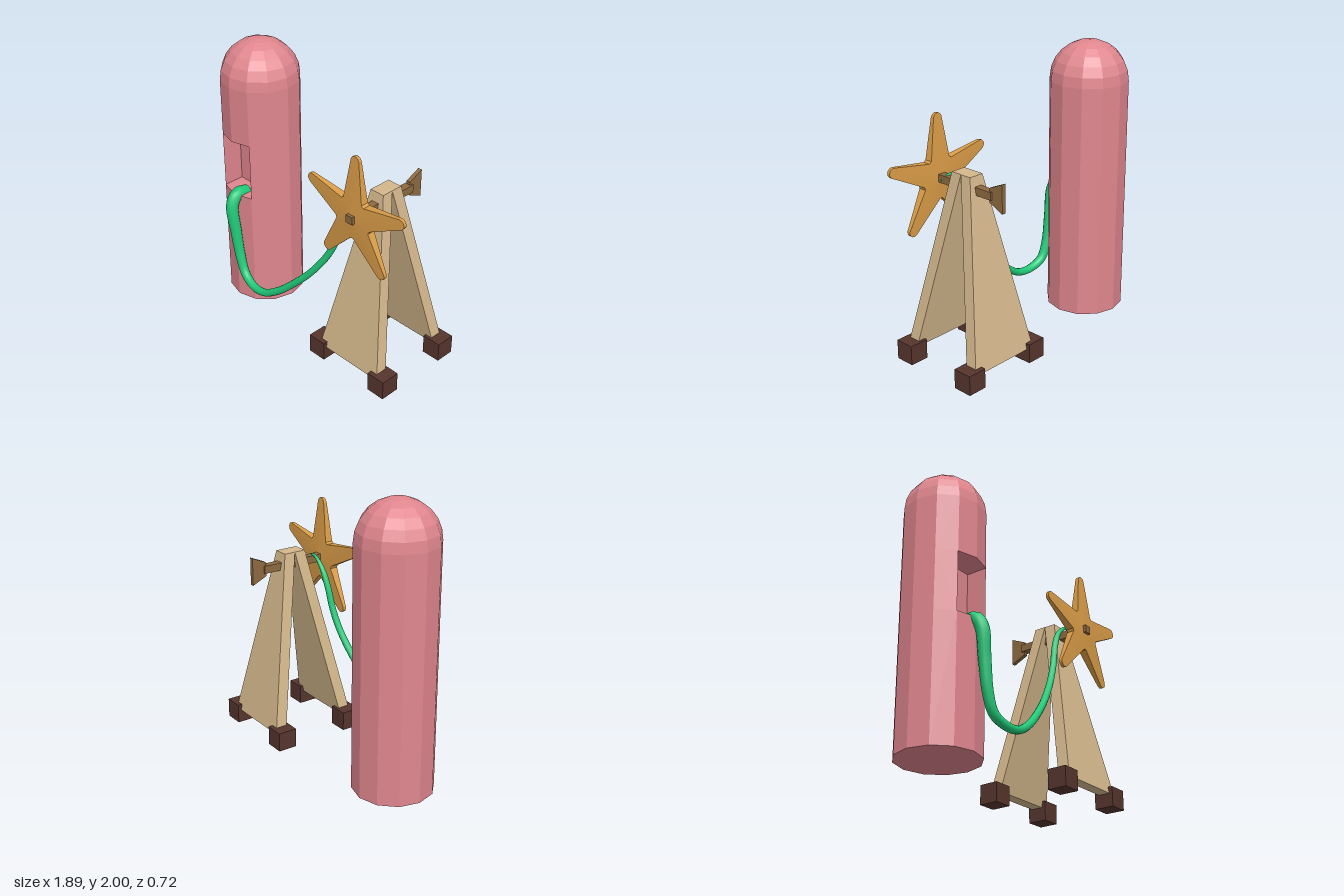
import * as THREE from 'three';

const mat = (name, color, flatShading = true) => {
  const m = new THREE.MeshStandardMaterial({ color, flatShading });
  m.name = name;
  return m;
};

export function createModel() {
  const pink = mat('pink', 0xe0868e);
  const tan = mat('tan wood', 0xd4b88c);
  const orange = mat('orange', 0xdb9d48);
  const brown = mat('brown wood', 0x8e6a41);
  const dark = mat('dark brown', 0x56352e);
  const green = mat('green', 0x20c878, false);

  const root = new THREE.Group();
  const add = (parent, name, geo, material, x = 0, y = 0, z = 0) => {
    const m = new THREE.Mesh(geo, material);
    m.name = name;
    m.position.set(x, y, z);
    parent.add(m);
    return m;
  };
  // Faceted solid from a front and a back ring of equal length, fanned to centre points
  const solid = (front, back, cf, cb) => {
    const tris = [];
    const n = front.length;
    for (let i = 0; i < n; i++) {
      const j = (i + 1) % n;
      tris.push(cf, front[i], front[j], cb, back[j], back[i]);
      tris.push(front[i], back[i], back[j], front[i], back[j], front[j]);
    }
    const g = new THREE.BufferGeometry();
    g.setAttribute('position', new THREE.Float32BufferAttribute(tris.flat(), 3));
    g.computeVertexNormals();
    return g;
  };

  // Tank: twelve-sided, with a square recess cut into its front
  const tank = new THREE.Group();
  tank.name = 'tank';
  tank.position.set(-0.665, 0, -0.005);
  root.add(tank);
  const R = 0.28, low = 0.89, high = 1.31, shoulder = 1.72, base = 0.01;
  add(tank, 'tankLower', new THREE.CylinderGeometry(R, R, low - base, 12), pink, 0, (low + base) / 2);
  add(tank, 'tankUpper', new THREE.CylinderGeometry(R, R, shoulder - high, 12), pink, 0, (high + shoulder) / 2);
  add(tank, 'tankDome', new THREE.SphereGeometry(R, 12, 6, 0, Math.PI * 2, 0, Math.PI / 2), pink, 0, shoulder);
  const ring = [];
  for (let i = 1; i < 12; i++) {
    const a = i * Math.PI / 6;
    ring.push(new THREE.Vector2(R * Math.sin(a), -R * Math.cos(a)));
  }
  ring.push(new THREE.Vector2(-0.14, -0.09), new THREE.Vector2(0.14, -0.09));
  const notch = new THREE.ExtrudeGeometry(new THREE.Shape(ring), { depth: high - low, bevelEnabled: false });
  notch.rotateX(-Math.PI / 2);
  add(tank, 'tankRecess', notch, pink, 0, low);

  // Stand: two tapered slabs leaning together
  const stand = new THREE.Group();
  stand.name = 'stand';
  stand.position.set(0.53, 0, -0.005);
  root.add(stand);
  const yb = 0.095, yt = 1.345;
  const quad = (zb, zt) => [[-0.27, yb, zb], [0.27, yb, zb], [0.055, yt, zt], [-0.055, yt, zt]];
  const mid = (q) => [0, 1, 2].map((k) => (q[0][k] + q[2][k]) / 2 * (k === 0 ? 0 : 1));
  const outer = quad(0.325, 0.083), inner = quad(0.24, 0);
  const slab = solid(outer, inner, mid(outer), mid(inner));
  add(stand, 'frontSlab', slab, tan);
  add(stand, 'backSlab', slab, tan).rotation.y = Math.PI;
  for (const x of [-0.28, 0.28])
    for (const z of [-0.28, 0.28])
      add(stand, 'foot', new THREE.BoxGeometry(0.14, 0.14, 0.14), dark, x, 0.07, z);

  // Axle and tail vane
  add(root, 'axle', new THREE.BoxGeometry(0.055, 0.055, 0.57), brown, 0.53, 1.25, 0.045);
  const vane = new THREE.Shape([[0.22, -0.05], [0.33, -0.1], [0.33, 0.1], [0.22, 0.05]]
    .map((p) => new THREE.Vector2(...p)));
  const vaneGeo = new THREE.ExtrudeGeometry(vane, { depth: 0.03, bevelEnabled: false });
  vaneGeo.translate(0, 0, -0.015).rotateY(Math.PI / 2);
  add(root, 'tailVane', vaneGeo, brown, 0.53, 1.25, 0);

  // Five-armed wheel, thick at the hub and thin at the rounded tips
  const front = [], back = [];
  const armProfile = [[0.41, -0.034], [0.427, -0.024], [0.435, -0.01],
    [0.435, 0.01], [0.427, 0.024], [0.41, 0.034]];
  const point = (r, s, a) => {
    const x = r * Math.cos(a) - s * Math.sin(a), y = r * Math.sin(a) + s * Math.cos(a);
    const t = 0.038 - 0.027 * Math.hypot(x, y) / 0.435;
    front.push([x, y, t]);
    back.push([x, y, -t]);
  };
  for (let i = 0; i < 5; i++) {
    const a = Math.PI / 2 + i * Math.PI * 2 / 5;
    for (const [r, s] of armProfile) point(r, s, a);
    for (const d of [-0.07, 0.07]) point(0.149, 0, a + Math.PI / 5 + d);
  }
  add(root, 'starWheel', solid(front, back, [0, 0, 0.038], [0, 0, -0.038]), orange, 0.53, 1.25, 0.272);

  // Hose: a tube that narrows from the tank to the wheel
  const path = new THREE.CatmullRomCurve3([
    [-0.655, 0.87, 0.17], [-0.655, 0.885, 0.26], [-0.65, 0.82, 0.31], [-0.62, 0.6, 0.312],
    [-0.585, 0.4, 0.31], [-0.53, 0.275, 0.315], [-0.42, 0.225, 0.33], [-0.31, 0.235, 0.332],
    [-0.18, 0.31, 0.315], [-0.03, 0.445, 0.28], [0.1, 0.59, 0.245], [0.22, 0.77, 0.21],
    [0.29, 0.93, 0.19], [0.33, 1.08, 0.178], [0.39, 1.21, 0.17], [0.47, 1.28, 0.17],
    [0.53, 1.28, 0.18], [0.56, 1.24, 0.21],
  ].map((p) => new THREE.Vector3(...p)));
  const segs = 90, sides = 12;
  const hose = new THREE.TubeGeometry(path, segs, 1, sides);
  const pos = hose.attributes.position, v = new THREE.Vector3();
  for (let i = 0; i < pos.count; i++) {
    const u = Math.floor(i / (sides + 1)) / segs;
    const c = path.getPointAt(u);
    let r = u < 0.4 ? 0.05 - 0.056 * u : 0.0276 - 0.012 * (u - 0.4);
    if (u > 0.88) r *= 1 - (u - 0.88) * 6.5;
    v.fromBufferAttribute(pos, i).sub(c).multiplyScalar(r).add(c);
    pos.setXYZ(i, v.x, v.y, v.z);
  }
  add(root, 'hose', hose, green);

  return root;
}
